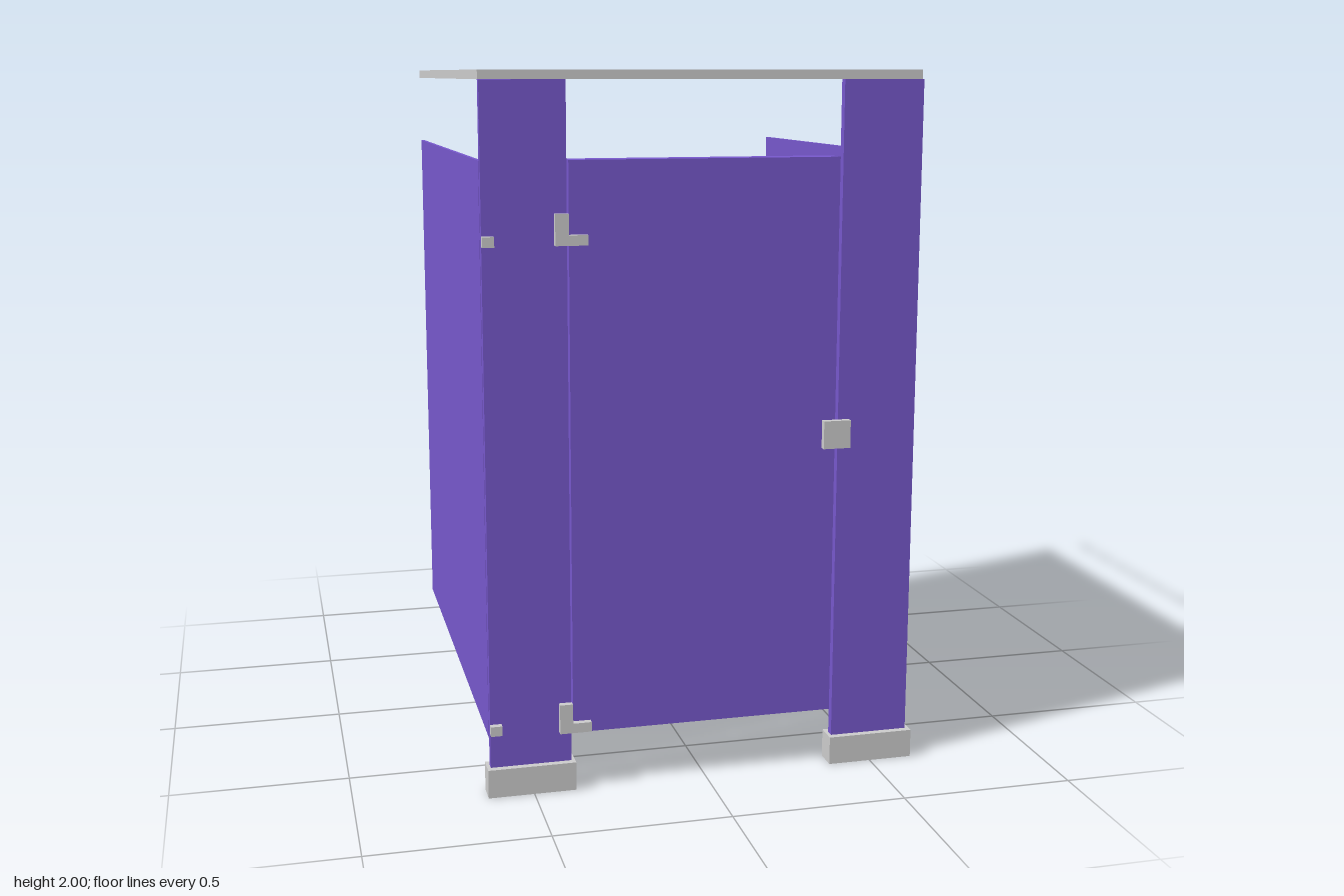
import * as THREE from 'three';

const purple = new THREE.MeshStandardMaterial({ color: 0x7758cc });
const grey = new THREE.MeshStandardMaterial({ color: 0xcccccc });
const greyThin = new THREE.MeshStandardMaterial({ color: 0xcccccc, side: THREE.DoubleSide });

// Box given by its extents along each axis
function box(name, material, [x0, x1], [y0, y1], [z0, z1]) {
  const mesh = new THREE.Mesh(new THREE.BoxGeometry(x1 - x0, y1 - y0, z1 - z0), material);
  mesh.position.set((x0 + x1) / 2, (y0 + y1) / 2, (z0 + z1) / 2);
  mesh.name = name;
  return mesh;
}

// Thin upright strip along the top of the stall
function rail(name, length, x, z, turn) {
  const mesh = new THREE.Mesh(new THREE.PlaneGeometry(length, 0.025), greyThin);
  mesh.position.set(x, 1.9875, z);
  mesh.rotation.y = turn;
  mesh.name = name;
  return mesh;
}

// L-shaped hinge plate, its corner at the lower left
function hinge(name, y) {
  const shape = new THREE.Shape();
  shape.moveTo(0, 0);
  shape.lineTo(0.09, 0);
  shape.lineTo(0.09, 0.028);
  shape.lineTo(0.037, 0.028);
  shape.lineTo(0.037, 0.085);
  shape.lineTo(0, 0.085);
  const geometry = new THREE.ExtrudeGeometry(shape, { depth: 0.018, bevelEnabled: false });
  const mesh = new THREE.Mesh(geometry, grey);
  mesh.position.set(-0.425, y, 0.712);
  mesh.name = name;
  return mesh;
}

export function createModel() {
  const stall = new THREE.Group();
  stall.name = 'toiletStall';

  // Side partitions
  const panelY = [0.16, 1.765], panelZ = [-0.72, 0.68];
  stall.add(box('rightPartition', purple, [-0.62, -0.609], panelY, panelZ));
  stall.add(box('leftPartition', purple, [0.617, 0.628], panelY, panelZ));

  // Front posts and their floor shoes
  const postY = [0.08, 1.975], postZ = [0.687, 0.711];
  stall.add(box('rightPost', purple, [-0.62, -0.39], postY, postZ));
  stall.add(box('leftPost', purple, [0.385, 0.616], postY, postZ));
  const shoeY = [0, 0.082], shoeZ = [0.665, 0.73];
  stall.add(box('rightShoe', grey, [-0.63, -0.38], shoeY, shoeZ));
  stall.add(box('leftShoe', grey, [0.375, 0.627], shoeY, shoeZ));

  // Door
  stall.add(box('door', purple, [-0.383, 0.38], panelY, [0.624, 0.702]));

  // Hinges, wall brackets and latch
  const bracketX = [-0.62, -0.588], hardwareZ = [0.711, 0.73];
  stall.add(hinge('upperHinge', 1.54), hinge('lowerHinge', 0.17));
  stall.add(box('upperBracket', grey, bracketX, [1.54, 1.568], hardwareZ));
  stall.add(box('lowerBracket', grey, bracketX, [0.181, 0.209], hardwareZ));
  stall.add(box('latch', grey, [0.338, 0.417], [0.948, 1.028], hardwareZ));

  // Head rails
  stall.add(rail('frontRail', 1.24, 0, 0.69, 0));
  for (const side of [-1, 1]) {
    stall.add(rail(side < 0 ? 'rightRail' : 'leftRail', 1.42, side * 0.62, -0.02, Math.PI / 2));
  }
  return stall;
}
